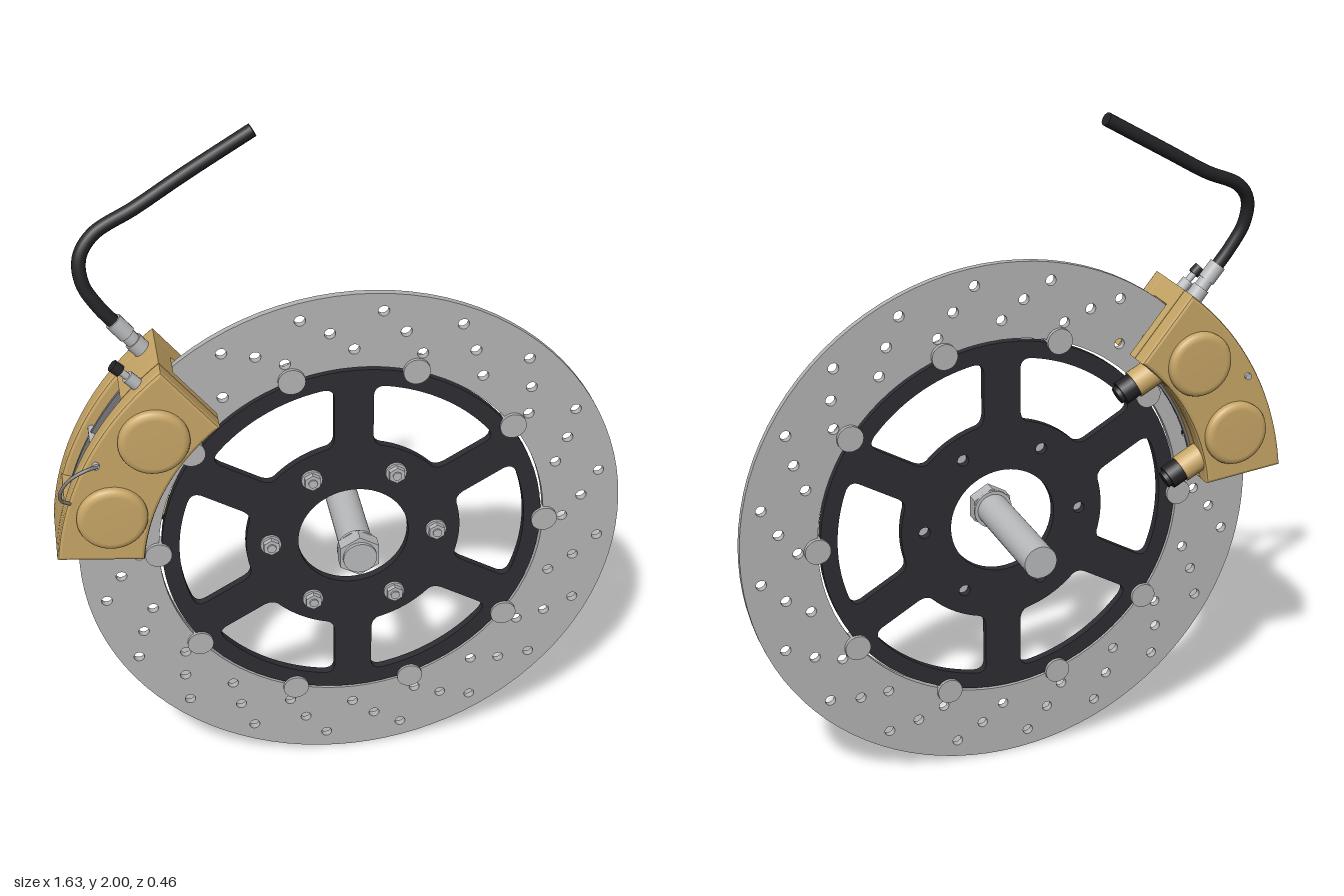
import * as THREE from 'three';

const mat = (name, color) => {
  const m = new THREE.MeshStandardMaterial({ color });
  m.name = name;
  return m;
};
const rad = THREE.MathUtils.degToRad;
const polar = (r, deg) => [r * Math.cos(rad(deg)), r * Math.sin(rad(deg))];

export function createModel() {
  const steel = mat('brushedSteel', 0xb4b4b4);
  const fitting = mat('fittingSteel', 0xb9babc);
  const gold = mat('goldAnodised', 0xc9a767);
  const dark = mat('darkAnodised', 0x2e2d33);
  const rubber = mat('blackRubber', 0x242428);
  const padGrey = mat('padGrey', 0x77777a);

  const model = new THREE.Group();
  model.name = 'discBrake';
  // Everything except the hose is laid out around the axle centre
  const hub = new THREE.Group();
  hub.name = 'brakeAssembly';
  hub.position.set(0.03, 0.785, 0);
  model.add(hub);

  const add = (name, geo, material, parent = hub) => {
    const m = new THREE.Mesh(geo, material);
    m.name = name;
    parent.add(m);
    return m;
  };
  // Flat plate between two z depths, with an optional bevel kept inside the outline
  const plate = (shape, z0, z1, bevel = 0, curveSegments = 24) => {
    const g = new THREE.ExtrudeGeometry(shape, {
      depth: z1 - z0 - 2 * bevel, curveSegments, bevelEnabled: bevel > 0,
      bevelSize: bevel, bevelThickness: bevel, bevelOffset: -bevel, bevelSegments: 2,
    });
    return g.translate(0, 0, z0 + bevel);
  };
  // Cylinder along z; six sides gives a faceted hex
  const cylZ = (r, z0, z1, x = 0, y = 0, sides = 24) => {
    let g = new THREE.CylinderGeometry(r, r, z1 - z0, sides).rotateX(Math.PI / 2);
    if (sides === 6) { g = g.toNonIndexed(); g.computeVertexNormals(); }
    return g.translate(x, y, (z0 + z1) / 2);
  };
  // Cylinder between two points
  const rod = (name, a, b, r, material, parent = hub, sides = 16) => {
    const A = new THREE.Vector3(...a), B = new THREE.Vector3(...b);
    const m = add(name, new THREE.CylinderGeometry(r, r, A.distanceTo(B), sides), material, parent);
    m.position.copy(A).add(B).multiplyScalar(0.5);
    m.quaternion.setFromUnitVectors(new THREE.Vector3(0, 1, 0), B.sub(A).normalize());
    return m;
  };
  const ring = (rOut, rIn) => {
    const s = new THREE.Shape().absarc(0, 0, rOut, 0, Math.PI * 2);
    s.holes.push(new THREE.Path().absarc(0, 0, rIn, 0, Math.PI * 2, true));
    return s;
  };
  const circleHole = (shape, r, x, y) =>
    shape.holes.push(new THREE.Path().absarc(x, y, r, 0, Math.PI * 2, true));
  const sector = (r0, r1, a0, a1) => {
    const s = new THREE.Shape();
    s.absarc(0, 0, r1, rad(a0), rad(a1), false);
    s.absarc(0, 0, r0, rad(a1), rad(a0), true);
    s.closePath();
    return s;
  };

  // Drilled disc: twenty repeats of three staggered holes
  const discShape = ring(0.783, 0.558);
  for (let i = 0; i < 20; i++) {
    for (const [r, a] of [[0.73, 83.7], [0.615, 90], [0.672, 95.7]]) {
      circleHole(discShape, 0.0155, ...polar(r, a + i * 18));
    }
  }
  // Curve steps shared by the rim and the small holes
  add('disc', plate(discShape, 0.07, 0.09, 0, 48), steel);

  // Six-spoke carrier with rounded windows
  const carrier = ring(0.55, 0.16);
  const rIn = 0.31, rOut = 0.5, half = 0.055;
  const edge = (r) => 30 - THREE.MathUtils.radToDeg(Math.asin(half / r));
  for (let i = 0; i < 6; i++) {
    const c = i * 60, w = new THREE.Path();
    const o = edge(rOut), n = edge(rIn);
    w.absarc(0, 0, rOut, rad(c - o + 4), rad(c + o - 4), false);
    w.quadraticCurveTo(...polar(rOut, c + o), ...polar(0.465, c + edge(0.465)));
    w.lineTo(...polar(0.345, c + edge(0.345)));
    w.quadraticCurveTo(...polar(rIn, c + n), ...polar(rIn, c + n - 5));
    w.absarc(0, 0, rIn, rad(c + n - 5), rad(c - n + 5), true);
    w.quadraticCurveTo(...polar(rIn, c - n), ...polar(0.345, c - edge(0.345)));
    w.lineTo(...polar(0.465, c - edge(0.465)));
    w.quadraticCurveTo(...polar(rOut, c - o), ...polar(rOut, c - o + 4));
    carrier.holes.push(w);
    circleHole(carrier, 0.017, ...polar(0.24, c));
  }
  add('carrier', plate(carrier, 0.068, 0.092, 0, 40), dark);

  // Floating bobbins joining disc and carrier
  for (let i = 0; i < 10; i++) {
    const [x, y] = polar(0.56, i * 36);
    add('bobbin', cylZ(0.038, 0.058, 0.1, x, y), steel);
  }
  // Carrier bolts
  for (let i = 0; i < 6; i++) {
    const [x, y] = polar(0.24, i * 60);
    add('boltFlange', cylZ(0.03, 0.09, 0.1, x, y), fitting);
    add('boltHead', cylZ(0.025, 0.1, 0.115, x, y, 6), fitting);
    add('boltTip', cylZ(0.013, 0.115, 0.12, x, y, 12), fitting);
  }

  // Axle with hex nut
  add('axle', cylZ(0.048, -0.23, 0.205, 0, 0, 32), fitting);
  add('axleNut', cylZ(0.064, 0.155, 0.195, 0, 0, 6), fitting);
  add('axleWasher', cylZ(0.058, 0.147, 0.156, 0, 0, 32), fitting);

  // Caliper halves, inner cheeks and bridge ends around the pad window
  const caliper = new THREE.Group();
  caliper.name = 'caliper';
  hub.add(caliper);
  const A0 = 129, A1 = 174, R0 = 0.607, R1 = 0.847;
  add('caliperFront', plate(sector(R0, R1, A0, A1), 0.145, 0.203, 0.01), gold, caliper);
  add('caliperRear', plate(sector(R0, R1, A0, A1), -0.047, 0.015, 0.01), gold, caliper);
  for (const [z0, z1] of [[0.008, 0.042], [0.125, 0.152]]) {
    add('caliperCheek', plate(sector(R0, 0.785, A0, A1), z0, z1), gold, caliper);
  }
  for (const [a0, a1] of [[A0, 139], [163, A1]]) {
    add('caliperBridge', plate(sector(0.785, R1, a0, a1), 0.008, 0.152), gold, caliper);
  }

  // Domed piston caps on both faces
  const dome = [[0.097, 0], [0.097, 0.012], [0.094, 0.019], [0.086, 0.024], [0.076, 0.026], [0, 0.026]]
    .map((p) => new THREE.Vector2(...p));
  for (const a of [141.2, 162.3]) {
    const [x, y] = polar(0.719, a);
    for (const s of [1, -1]) {
      const g = new THREE.LatheGeometry(dome, 40).rotateX(s * Math.PI / 2);
      add('pistonCap', g.translate(x, y, s > 0 ? 0.2 : -0.045), gold, caliper);
    }
  }

  // Brake pads, spring plate and retaining pin
  for (const [b0, b1, f0, f1] of [[0.108, 0.122, 0.091, 0.108], [0.045, 0.056, 0.056, 0.069]]) {
    add('padBacking', plate(sector(0.6, 0.825, 137, 166), b0, b1), padGrey, caliper);
    add('padFriction', plate(sector(0.61, 0.775, 138, 165), f0, f1), dark, caliper);
  }
  add('padSpring', plate(sector(0.797, 0.806, 140, 162), 0.016, 0.144), fitting, caliper);
  add('padPin', cylZ(0.01, -0.056, 0.215, ...polar(0.818, 151.5), 12), fitting, caliper);
  const clip = new THREE.CatmullRomCurve3([
    [-0.715, 0.39, 0.212], [-0.745, 0.388, 0.222], [-0.79, 0.365, 0.225],
    [-0.818, 0.325, 0.222], [-0.818, 0.295, 0.215], [-0.795, 0.275, 0.205],
  ].map((p) => new THREE.Vector3(...p)));
  add('pinClip', new THREE.TubeGeometry(clip, 32, 0.005, 8), padGrey, caliper);

  // Mounting lugs with black boots, pointing towards the axle behind the disc
  const mid = 151.5;
  for (const v of [-0.165, 0.165]) {
    const at = (u) => {
      const [ux, uy] = polar(u, mid), [vx, vy] = polar(v, mid + 90);
      return [ux + vx, uy + vy, 0.003];
    };
    rod('mountLug', at(0.52), at(0.66), 0.041, gold, caliper, 24);
    rod('slideBoot', at(0.475), at(0.525), 0.036, rubber, caliper, 24);
    rod('bootTip', at(0.462), at(0.476), 0.026, rubber, caliper, 24);
  }

  // Bleed nipple on the front half
  const nipple = [[-0.585, 0.595, 0.16], [-0.618, 0.63, 0.16], [-0.635, 0.648, 0.16], [-0.655, 0.667, 0.16]];
  rod('nippleBase', nipple[0], nipple[1], 0.018, fitting, caliper, 12);
  rod('nippleStem', nipple[1], nipple[2], 0.01, fitting, caliper, 12);
  rod('nippleCap', nipple[2], nipple[3], 0.017, rubber, caliper);

  // Hose union on the rear half
  rod('unionBolt', [-0.545, 0.6, 0.018], [-0.59, 0.656, 0.018], 0.026, fitting, caliper);
  rod('unionCollar', [-0.585, 0.65, 0.018], [-0.615, 0.69, 0.018], 0.021, fitting, caliper);
  rod('hoseFerrule', [-0.605, 0.677, 0.018], [-0.64, 0.72, 0.017], 0.025, fitting, caliper);

  // Flexible hose
  const hosePath = new THREE.CatmullRomCurve3([
    [-0.598, 1.49, 0.017], [-0.645, 1.55, 0.016], [-0.683, 1.62, 0.01], [-0.685, 1.69, -0.003],
    [-0.645, 1.745, -0.022], [-0.53, 1.8, -0.048], [-0.4, 1.875, -0.066], [-0.215, 1.982, -0.078],
  ].map((p) => new THREE.Vector3(...p)));
  add('hose', new THREE.TubeGeometry(hosePath, 64, 0.019, 16), rubber, model);
  const end = hosePath.getPoint(1), dir = hosePath.getTangent(1).multiplyScalar(0.003);
  rod('hoseEnd', end.clone().sub(dir).toArray(), end.clone().add(dir).toArray(), 0.019, rubber, model);

  return model;
}
